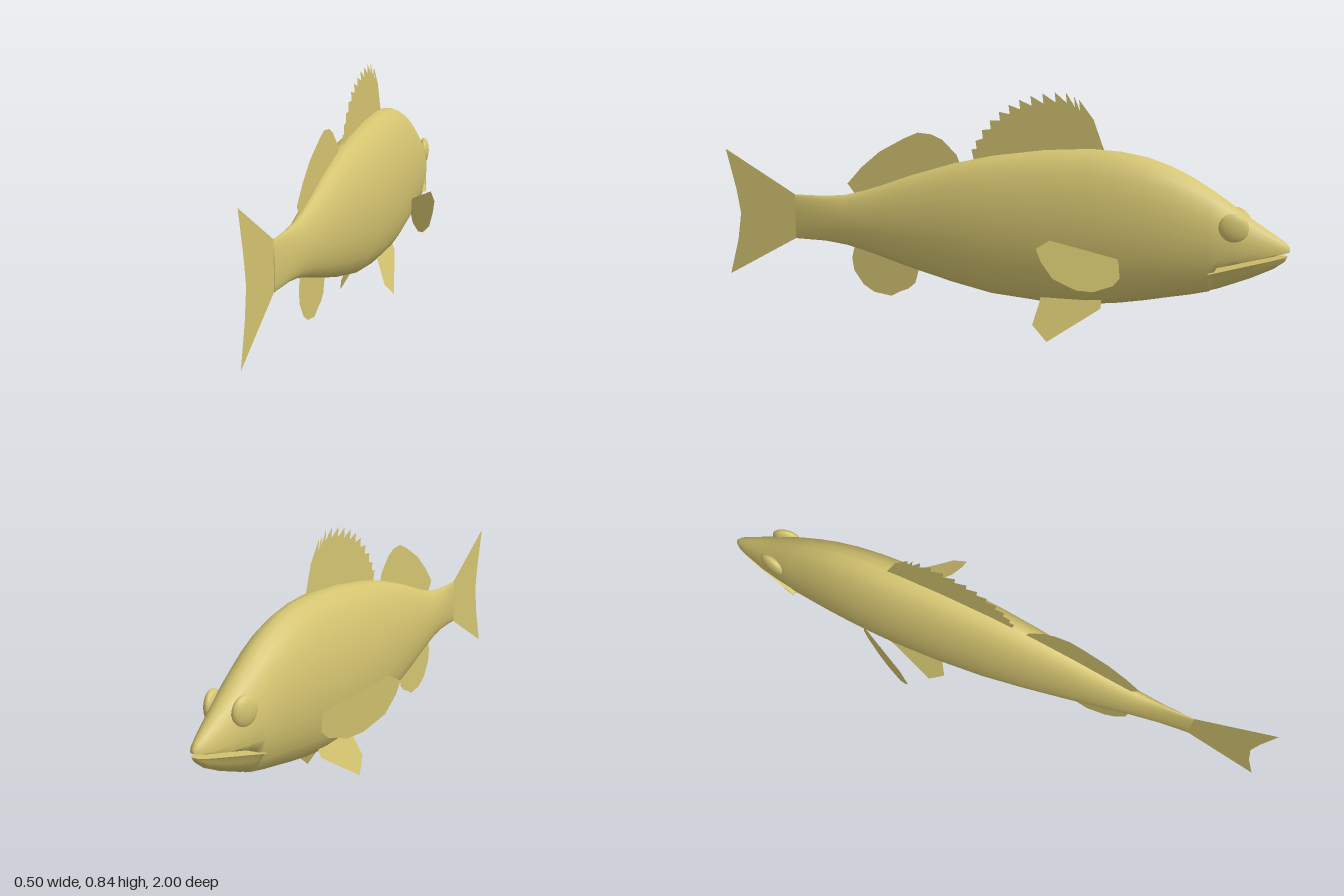
import * as THREE from 'three';

const skin = new THREE.MeshStandardMaterial({ color: 0xd4c470 });
skin.name = 'olive gold skin';
const finSkin = new THREE.MeshStandardMaterial({ color: 0xd4c470, side: THREE.DoubleSide });
finSkin.name = 'olive gold fin';

// Cross-sections: z, bottom, top, half width
const SECTIONS = [
  [-1, 0.32, 0.355, 0.008], [-0.985, 0.305, 0.372, 0.02], [-0.95, 0.278, 0.395, 0.034],
  [-0.88, 0.243, 0.44, 0.054], [-0.82, 0.218, 0.482, 0.068], [-0.77, 0.198, 0.517, 0.078],
  [-0.745, 0.19, 0.533, 0.082], [-0.68, 0.174, 0.572, 0.091], [-0.61, 0.16, 0.605, 0.1],
  [-0.53, 0.143, 0.632, 0.107], [-0.44, 0.127, 0.647, 0.112], [-0.34, 0.115, 0.652, 0.114],
  [-0.18, 0.113, 0.641, 0.111], [0, 0.128, 0.614, 0.101], [0.14, 0.158, 0.581, 0.087],
  [0.3, 0.2, 0.53, 0.067], [0.4, 0.23, 0.492, 0.053], [0.47, 0.25, 0.468, 0.043],
  [0.54, 0.267, 0.449, 0.033], [0.62, 0.277, 0.441, 0.022], [0.735, 0.279, 0.44, 0.005],
];
const mouthLine = (z) => 0.288 - (z + 0.77) * 0.235;

// Skin over rings; limit(z, y) trims the height of each ring
function loft(sections, limit) {
  const N = 24, pos = [], idx = [];
  for (const [z, bottom, top, w] of sections) {
    const cy = (top + bottom) / 2, h = (top - bottom) / 2;
    for (let j = 0; j < N; j++) {
      const t = (j / N) * Math.PI * 2;
      pos.push(w * Math.cos(t), limit(z, cy + h * Math.sin(t)), z);
    }
  }
  const last = sections.length - 1;
  for (let i = 0; i < last; i++) {
    for (let j = 0; j < N; j++) {
      const a = i * N + j, b = i * N + (j + 1) % N;
      idx.push(a, b, a + N, b, b + N, a + N);
    }
  }
  // End caps
  for (const ring of [0, last]) {
    const [z, bottom, top] = sections[ring], c = pos.length / 3;
    pos.push(0, limit(z, (top + bottom) / 2), z);
    for (let j = 0; j < N; j++) {
      const a = ring * N + j, b = ring * N + (j + 1) % N;
      if (ring) idx.push(c, a, b); else idx.push(c, b, a);
    }
  }
  const g = new THREE.BufferGeometry();
  g.setAttribute('position', new THREE.Float32BufferAttribute(pos, 3));
  g.setIndex(idx);
  g.computeVertexNormals();
  return g;
}

// Flat fin from (z, y) outline, with x given by a rule
function fin(outline, xRule = () => 0) {
  const g = new THREE.ShapeGeometry(new THREE.Shape(outline.map(([z, y]) => new THREE.Vector2(z, y))));
  const p = g.attributes.position;
  for (let i = 0; i < p.count; i++) {
    const z = p.getX(i), y = p.getY(i);
    p.setXYZ(i, xRule(z, y), y, z);
  }
  g.computeVertexNormals();
  return g;
}

export function createModel() {
  const model = new THREE.Group();
  model.name = 'fish';
  const add = (name, geometry, material = finSkin) => {
    const m = new THREE.Mesh(geometry, material);
    m.name = name;
    model.add(m);
    return m;
  };

  // Body, with the underside of the snout cut along the mouth
  add('body', loft(SECTIONS, (z, y) => (z < -0.76 ? Math.max(y, mouthLine(z)) : y)), skin);

  // Lower jaw, flared a little at its hinge
  const jaw = SECTIONS.slice(0, 7).map(([z, b, t, w], i) =>
    [Math.max(z, -0.992), b + 0.003, t, w * (i > 4 ? 1.04 : 0.97)]);
  add('lowerJaw', loft(jaw, (z, y) => Math.min(y, mouthLine(z) - 0.014)), skin);

  // Eyes
  for (const s of [1, -1]) {
    const eye = add(s > 0 ? 'leftEye' : 'rightEye', new THREE.SphereGeometry(0.05, 20, 14), skin);
    eye.scale.set(0.4, 1, 1);
    eye.position.set(s * 0.056, 0.42, -0.82);
    eye.rotation.y = s * 0.2;
  }

  add('tailFin', fin([[0.72, 0.44], [0.735, 0.44], [1, 0.594], [0.965, 0.45], [0.95, 0.36],
    [0.965, 0.26], [1, 0.13], [0.735, 0.28], [0.72, 0.28]]));

  // Spiny dorsal fin: backward-leaning tips along a curve
  const crest = new THREE.SplineCurve([[-0.295, 0.815], [-0.25, 0.838], [-0.17, 0.832], [-0.09, 0.808],
    [-0.02, 0.765], [0.04, 0.7], [0.077, 0.632]].map(([z, y]) => new THREE.Vector2(z, y)));
  const spiny = [[-0.36, 0.6], [-0.382, 0.65], [-0.345, 0.75]];
  const tips = 13;
  for (let i = 0; i < tips; i++) {
    const tip = crest.getPoint(i / (tips - 1));
    spiny.push([tip.x, tip.y]);
    if (i < tips - 1) spiny.push([tip.x - 0.004, tip.y - 0.038 + 0.012 * i / tips]);
  }
  spiny.push([0.065, 0.58]);
  add('spinyDorsalFin', fin(spiny));

  add('softDorsalFin', fin([[0.11, 0.56], [0.13, 0.61], [0.18, 0.66], [0.22, 0.678], [0.27, 0.682],
    [0.32, 0.66], [0.41, 0.61], [0.48, 0.55], [0.533, 0.49], [0.51, 0.46], [0.5, 0.43], [0.3, 0.5]]));

  add('analFin', fin([[0.265, 0.23], [0.275, 0.18], [0.285, 0.145], [0.31, 0.122], [0.34, 0.11],
    [0.375, 0.09], [0.44, 0.1], [0.48, 0.125], [0.515, 0.175], [0.522, 0.22], [0.505, 0.29]]));

  // Paired fins
  const pectoral = [[-0.455, 0.305], [-0.46, 0.24], [-0.44, 0.215], [-0.38, 0.2], [-0.33, 0.21],
    [-0.26, 0.255], [-0.225, 0.315], [-0.21, 0.36], [-0.25, 0.385]];
  const pelvic = [[-0.18, 0.16], [-0.18, 0.13], [-0.16, 0.05], [-0.215, 0], [-0.39, 0.118], [-0.39, 0.16]];
  for (const s of [1, -1]) {
    const side = s > 0 ? 'left' : 'right';
    add(side + 'PectoralFin', fin(pectoral, (z) => s * (0.103 + (z + 0.455) * 0.6)));
    add(side + 'PelvicFin', fin(pelvic, (z, y) => s * (0.102 - 0.39 * y)));
  }
  return model;
}
